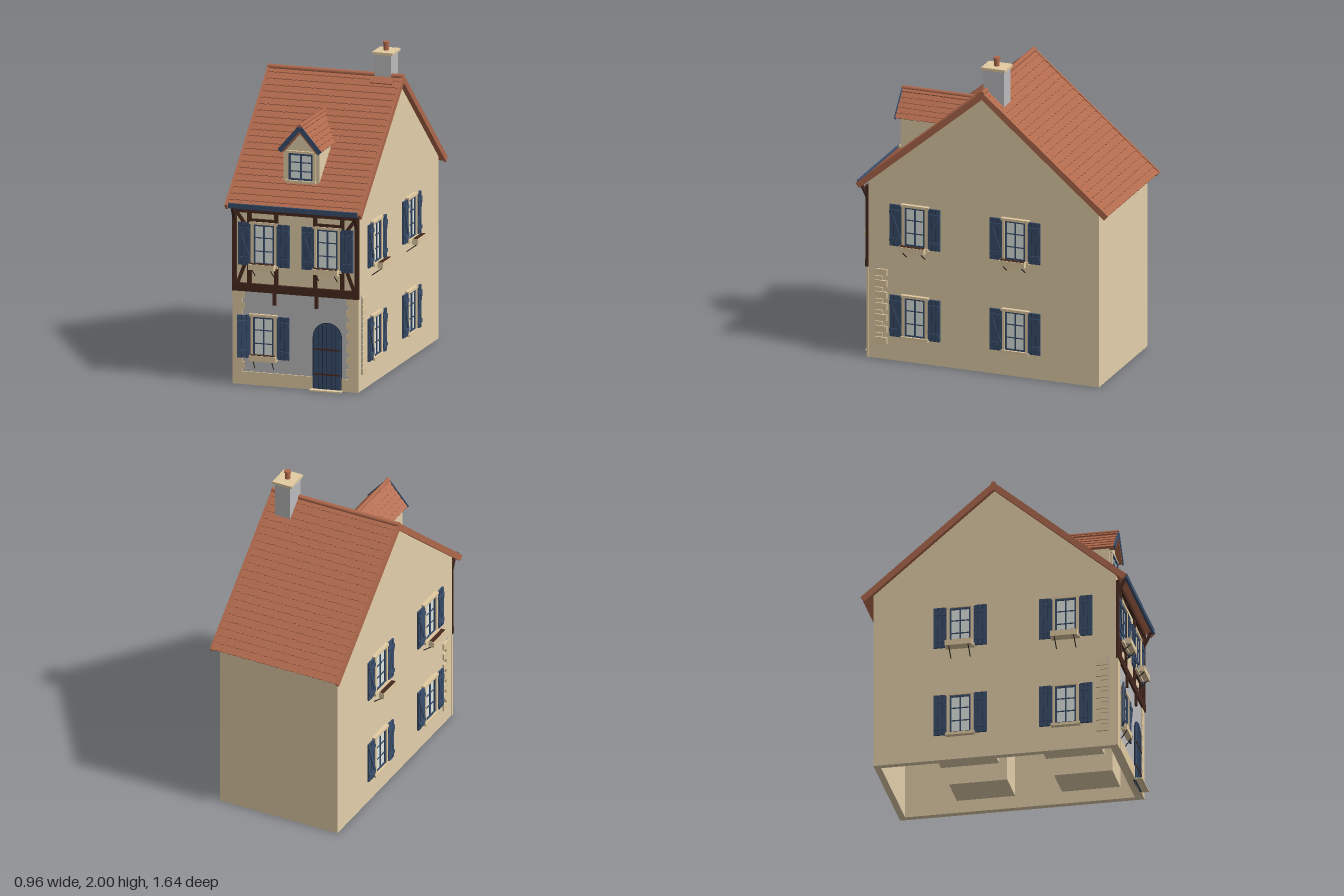
import * as THREE from 'three';

const mat = (name, color) => Object.assign(new THREE.MeshStandardMaterial({ color }), { name });
const plaster = mat('cream plaster', 0xe3cfaa);
const trim = mat('pale stone trim', 0xe2cba2);
const grey = mat('grey render', 0xbcbbbd);
const tile = mat('terracotta tile', 0xb0694c);
const navy = mat('navy paint', 0x3a4e6c);
const darkNavy = mat('dark navy groove', 0x222f45);
const timber = mat('dark timber', 0x46291f);
const glass = mat('pale glass', 0xdfe6e1);
const iron = mat('dark iron', 0x262220);

function add(parent, name, geo, material, x = 0, y = 0, z = 0) {
  const m = new THREE.Mesh(geo, material);
  m.name = name;
  m.position.set(x, y, z);
  parent.add(m);
  return m;
}
const box = (p, name, m, w, h, d, x, y, z) => add(p, name, new THREE.BoxGeometry(w, h, d), m, x, y, z);

function group(parent, name, x = 0, y = 0, z = 0, ry = 0) {
  const g = new THREE.Group();
  g.name = name;
  g.position.set(x, y, z);
  g.rotation.y = ry;
  parent.add(g);
  return g;
}

// Straight beam between two points in a plane of constant z
function bar(p, name, m, x1, y1, x2, y2, z, w, d) {
  const b = box(p, name, m, Math.hypot(x2 - x1, y2 - y1), w, d, (x1 + x2) / 2, (y1 + y2) / 2, z);
  b.rotation.z = Math.atan2(y2 - y1, x2 - x1);
  return b;
}

const extrude = (points, depth) => new THREE.ExtrudeGeometry(
  new THREE.Shape(points.map(([x, y]) => new THREE.Vector2(x, y))), { depth, bevelEnabled: false });

// Roof slope falling along local +z from its ridge, with scalloped tile courses
function tiledSlope(parent, name, width, length, rows, tiles, pitch, turn, x, y, z) {
  const g = group(parent, name, x, y, z);
  g.rotation.set(pitch, turn, 0, 'YXZ');
  box(g, 'roofDeck', tile, width, 0.026, length - 0.01, 0, -0.019, (length - 0.01) / 2);
  const step = length / rows, tw = width / tiles, dip = 0.006;
  const s = new THREE.Shape();
  s.moveTo(-width / 2, 0);
  s.lineTo(-width / 2, step - dip);
  for (let i = 0; i < tiles; i++) {
    const x0 = -width / 2 + i * tw;
    s.quadraticCurveTo(x0 + tw / 2, step + dip, x0 + tw, step - dip);
  }
  s.lineTo(width / 2, 0);
  const geo = new THREE.ExtrudeGeometry(s, { depth: 0.005, bevelEnabled: false, curveSegments: 3 });
  geo.rotateX(Math.PI / 2);
  for (let r = 0; r < rows; r++) {
    add(g, 'tileCourse', geo, tile, 0, -0.004, r * step).rotation.x = -Math.atan2(0.004, step);
  }
  return g;
}

// Framed glass with glazing bars, facing +z, centred at the origin
function glazing(p, w, h) {
  box(p, 'windowPane', glass, w, h, 0.008, 0, 0, 0.004);
  for (const s of [-1, 1]) {
    box(p, 'sashSide', navy, 0.011, h, 0.016, s * (w - 0.011) / 2, 0, 0.008);
    box(p, 'sashRail', navy, w, 0.011, 0.016, 0, s * (h - 0.011) / 2, 0.008);
    box(p, 'glazingBar', navy, w, 0.006, 0.012, 0, s * h / 6, 0.007);
  }
  box(p, 'centreBar', navy, 0.009, h, 0.014, 0, 0, 0.008);
}

// Planked shutter with Z bracing
function shutter(p, x, side, angle) {
  const g = group(p, 'shutter', x, 0, 0.014, angle);
  box(g, 'shutterBoard', navy, 0.08, 0.265, 0.012, side * 0.04, 0, 0);
  for (const y of [-0.09, 0.09]) box(g, 'shutterBatten', navy, 0.076, 0.022, 0.008, side * 0.04, y, 0.009);
  bar(g, 'shutterBrace', navy, side * 0.01, -0.08, side * 0.07, 0.08, 0.009, 0.018, 0.008);
  for (const i of [-1, 1]) box(g, 'plankGroove', darkNavy, 0.003, 0.265, 0.002, side * 0.04 + i * 0.014, 0, 0.0063);
}

// Window with stone surround and shutters; reach > 0 hangs a flower box that far out
function shutteredWindow(parent, x, y, z, ry, reach, angle = 0) {
  const g = group(parent, 'shutteredWindow', x, y, z, ry);
  glazing(g, 0.132, 0.25);
  for (const s of [-1, 1]) {
    box(g, 'windowJamb', trim, 0.016, 0.26, 0.022, s * 0.074, 0, 0.011);
    shutter(g, s * 0.084, s, s < 0 ? angle : 0);
  }
  box(g, 'windowHead', trim, 0.18, 0.016, 0.025, 0, 0.133, 0.0125);
  box(g, 'windowSill', trim, 0.18, 0.018, 0.03, 0, -0.132, 0.015);
  if (!reach) return;
  box(g, 'flowerBox', trim, 0.165, 0.036, 0.036, 0, -0.13, reach);
  box(g, 'flowerBoxSoil', timber, 0.155, 0.004, 0.027, 0, -0.1115, reach);
  for (const s of [-1, 1]) {
    const a = new THREE.Vector3(s * 0.06, -0.146, reach + 0.012), b = new THREE.Vector3(s * 0.06, -0.2, 0);
    add(g, 'flowerBoxBracket', new THREE.TubeGeometry(new THREE.LineCurve3(a, b), 1, 0.003, 6), iron);
  }
}

export function createModel() {
  const house = new THREE.Group();
  house.name = 'townHouse';

  // Hollow wall shell with gabled sides, open underneath
  const gable = extrude([[-0.75, 0], [0.75, 0], [0.75, 1.14], [0, 1.77], [-0.75, 1.14]], 0.04);
  gable.rotateY(-Math.PI / 2);
  add(house, 'gableWallLeft', gable, plaster, 0.4);
  add(house, 'gableWallRight', gable, plaster, -0.36);
  box(house, 'backWall', plaster, 0.72, 1.14, 0.04, 0, 0.57, -0.73);
  box(house, 'frontWall', plaster, 0.72, 1.14, 0.04, 0, 0.57, 0.73);
  for (const s of [-1, 1]) {
    for (const z of [0.44, -0.21]) box(house, 'windowReveal', plaster, 0.26, 0.4, 0.36, s * 0.25, 0.28, z);
  }

  // Ground floor front
  box(house, 'greyRender', grey, 0.68, 0.5, 0.008, 0, 0.33, 0.752);
  box(house, 'plinth', trim, 0.445, 0.08, 0.02, -0.1175, 0.04, 0.755);
  box(house, 'plinth', trim, 0.045, 0.08, 0.02, 0.3175, 0.04, 0.755);
  for (const s of [-1, 1]) {
    box(house, 'cornerPier', trim, 0.064, 0.58, 0.014, s * 0.37, 0.29, 0.755);
    box(house, 'quoinMortar', grey, 0.005, 0.49, 0.02, s * 0.4, 0.345, 0.694);
    for (let i = 0; i < 13; i++) {
      const long = i % 2 === 0, y = 0.12 + i * 0.0365;
      const w = long ? 0.075 : 0.048;
      box(house, 'sideQuoin', trim, 0.024, long ? 0.042 : 0.024, w, s * 0.4, y, 0.703 - w / 2);
      if (long) box(house, 'frontQuoin', trim, 0.02, 0.043, 0.014, s * 0.334, y, 0.755);
    }
  }

  // Arched plank door
  const door = group(house, 'door', 0.2025, 0, 0.75);
  const arch = (r) => {
    const s = new THREE.Shape();
    s.moveTo(-r, 0);
    s.lineTo(r, 0);
    s.lineTo(r, 0.328);
    s.absarc(0, 0.328, r, 0, Math.PI, false);
    return new THREE.ExtrudeGeometry(s, { depth: 0.012, bevelEnabled: false, curveSegments: 16 });
  };
  add(door, 'doorFrame', arch(0.0925), darkNavy);
  add(door, 'doorLeaf', arch(0.087), navy, 0, 0, 0.005);
  for (let i = -2; i <= 2; i++) {
    const h = 0.328 + Math.sqrt(0.085 ** 2 - (i * 0.028) ** 2);
    box(door, 'doorGroove', darkNavy, 0.004, h, 0.003, i * 0.028, h / 2, 0.0175);
  }
  for (const y of [0.1, 0.255]) box(door, 'doorHinge', timber, 0.165, 0.01, 0.006, 0, y, 0.018);
  box(house, 'doorStep', trim, 0.2, 0.008, 0.09, 0.2025, 0.004, 0.765);

  // Timber framing of the upper floor
  const frame = group(house, 'timberFrame', 0, 0, 0.752);
  box(frame, 'bottomBeam', timber, 0.808, 0.05, 0.02, 0, 0.605, 0.008);
  box(frame, 'topBeam', timber, 0.808, 0.03, 0.02, 0, 1.085, 0.008);
  box(frame, 'eavesGutter', navy, 0.825, 0.03, 0.016, 0, 1.117, 0.061);
  for (const s of [-1, 1]) {
    box(frame, 'cornerPost', timber, 0.026, 0.5, 0.018, s * 0.391, 0.85, 0.007);
    box(frame, 'outerPost', timber, 0.026, 0.47, 0.022, s * 0.297, 0.86, 0);
    box(frame, 'innerPost', timber, 0.026, 0.47, 0.022, s * 0.125, 0.86, 0);
    box(frame, 'headRail', timber, 0.17, 0.022, 0.02, s * 0.21, 1.022, 0);
    box(frame, 'sillRail', timber, 0.17, 0.022, 0.02, s * 0.21, 0.735, 0);
    bar(frame, 'upperBrace', timber, s * 0.385, 1.08, s * 0.305, 0.97, 0, 0.02, 0.02);
    bar(frame, 'lowerBrace', timber, s * 0.375, 0.62, s * 0.31, 0.79, 0, 0.02, 0.02);
    box(frame, 'corbel', timber, 0.02, 0.08, 0.03, s * 0.135, 0.545, 0.005);
    const strut = box(frame, 'eavesStrut', timber, 0.02, 0.1, 0.014, s * 0.39, 1.06, 0.028);
    strut.rotation.x = 0.45;
  }

  // Windows
  for (const s of [-1, 1]) {
    shutteredWindow(house, s * 0.203, 0.875, 0.746, 0, 0.056);
    for (const z of [0.443, -0.21]) {
      shutteredWindow(house, s * 0.4, 0.875, z, s * Math.PI / 2, 0.062);
      shutteredWindow(house, s * 0.4, 0.292, z, s * Math.PI / 2, 0);
    }
  }
  shutteredWindow(house, -0.203, 0.302, 0.753, 0, 0.025, 0.3);

  // Main roof with verges and ridge
  const pitch = Math.atan2(0.69, 0.82), slope = Math.hypot(0.69, 0.82);
  for (const turn of [0, Math.PI]) {
    const g = tiledSlope(house, 'roofSlope', 0.85, slope, 22, 26, pitch, turn, 0, 1.807, 0);
    for (const s of [-1, 1]) box(g, 'vergeTile', tile, 0.016, 0.038, slope, s * 0.427, -0.016, slope / 2);
  }
  const ridge = add(house, 'ridgeTile', new THREE.CylinderGeometry(0.016, 0.016, 0.868, 12), tile, 0, 1.8, 0);
  ridge.rotation.z = Math.PI / 2;

  // Dormer
  const dormer = group(house, 'dormer');
  add(dormer, 'dormerBody', extrude(
    [[-0.115, 1.25], [0.115, 1.25], [0.115, 1.455], [0, 1.585], [-0.115, 1.455]], 0.43), plaster, 0, 0, 0.22);
  glazing(group(dormer, 'dormerWindow', 0, 1.353, 0.65), 0.152, 0.165);
  box(dormer, 'dormerSill', trim, 0.19, 0.016, 0.03, 0, 1.261, 0.66);
  for (const s of [-1, 1]) {
    box(dormer, 'dormerJamb', trim, 0.014, 0.18, 0.02, s * 0.083, 1.355, 0.655);
    tiledSlope(dormer, 'dormerSlope', 0.47, 0.209, 6, 11, Math.atan2(0.16, 0.138), s * Math.PI / 2, 0, 1.615, 0.45);
    bar(dormer, 'dormerBargeboard', navy, 0, 1.601, s * 0.13, 1.45, 0.685, 0.029, 0.006);
  }
  box(dormer, 'dormerHead', trim, 0.19, 0.014, 0.02, 0, 1.443, 0.655);
  const dormerRidge = add(dormer, 'dormerRidge', new THREE.CylinderGeometry(0.013, 0.013, 0.48, 10), tile, 0, 1.61, 0.447);
  dormerRidge.rotation.x = Math.PI / 2;

  // Chimney
  const chimney = group(house, 'chimney', 0.305, 0, -0.048);
  box(chimney, 'chimneyStack', grey, 0.105, 0.26, 0.135, 0, 1.8, 0);
  box(chimney, 'chimneyCap', trim, 0.13, 0.016, 0.155, 0, 1.938, 0);
  const flashing = box(chimney, 'chimneyFlashing', tile, 0.145, 0.02, 0.05, 0, 1.772, 0.085);
  flashing.rotation.x = pitch;
  add(chimney, 'chimneyPot', new THREE.CylinderGeometry(0.017, 0.017, 0.045, 14), tile, 0, 1.9675, 0);
  add(chimney, 'chimneyPotRim', new THREE.CylinderGeometry(0.021, 0.021, 0.012, 14), tile, 0, 1.994, 0);

  return house;
}
